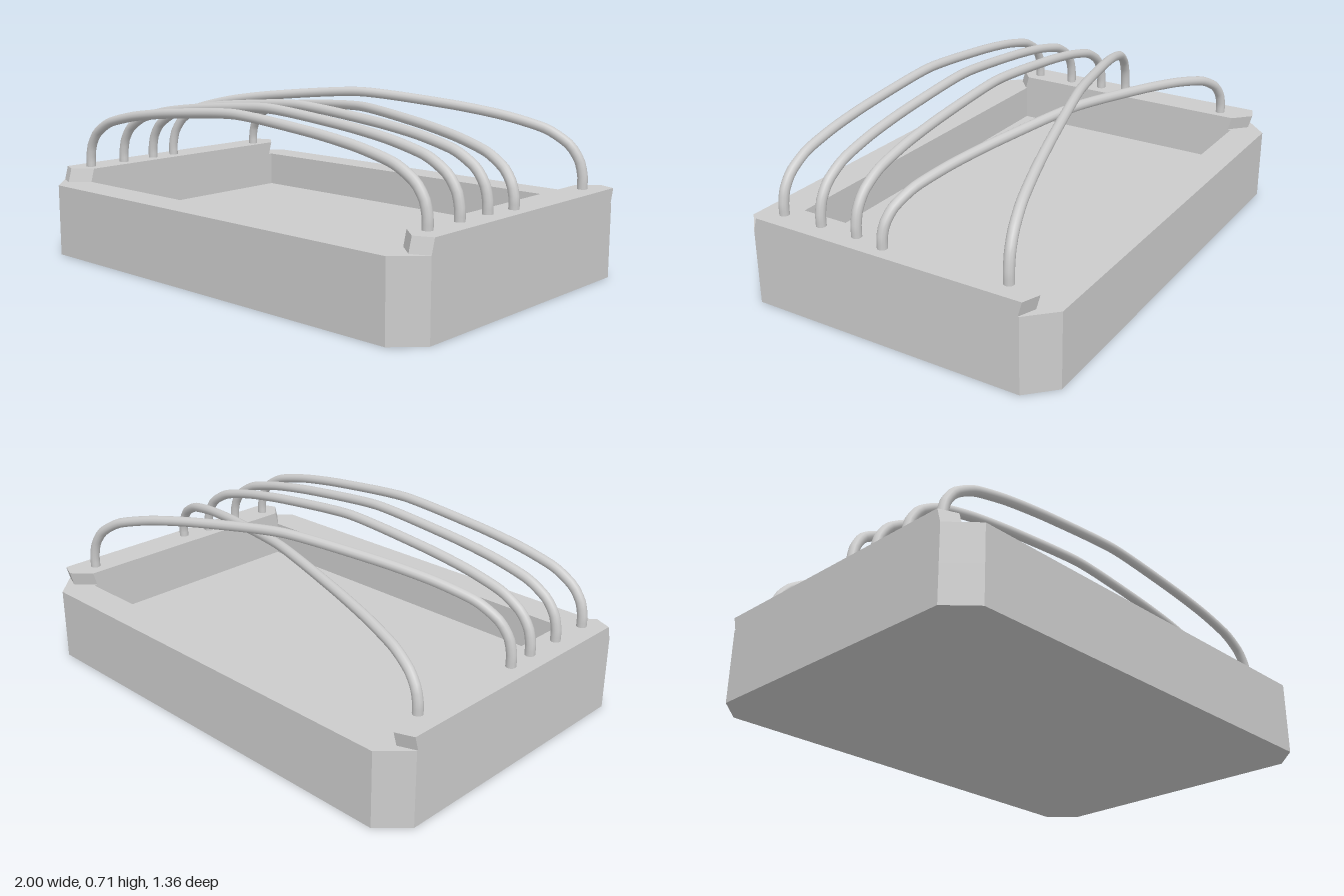
import * as THREE from 'three';

const material = new THREE.MeshStandardMaterial({ color: 0xcccccc });

function addMesh(parent, name, geometry) {
  const mesh = new THREE.Mesh(geometry, material);
  mesh.name = name;
  parent.add(mesh);
}

// Extrudes a plan outline of [x, z] points upward from y0 to y1
// (a hole runs the opposite way round to its outline)
function slab(points, y0, y1, hole) {
  const toPlan = (list) => list.map(([x, z]) => new THREE.Vector2(x, -z));
  const shape = new THREE.Shape(toPlan(points));
  if (hole) shape.holes.push(new THREE.Path(toPlan(hole)));
  const geometry = new THREE.ExtrudeGeometry(shape, { depth: y1 - y0, bevelEnabled: false });
  return geometry.rotateX(-Math.PI / 2).translate(0, y0, 0);
}

// Half of an arch: fraction of the half span, fraction of the height
const ARCH = [[1, 0], [1, 0.16], [0.985, 0.34], [0.94, 0.52], [0.84, 0.685], [0.66, 0.81], [0.42, 0.905]];

// Bent rod between two feet [x, z], rising to a slight ridge in the middle
function archRod(parent, name, [x0, z0], [x1, z1], peak) {
  const foot = 0.35;
  const radius = 0.02;
  const profile = [...ARCH.map(([u, v]) => [-u, v]), [0, 1], ...[...ARCH].reverse()];
  const points = profile.map(([u, v]) => {
    const t = (u + 1) / 2;
    return new THREE.Vector3(
      THREE.MathUtils.lerp(x0, x1, t),
      foot + (peak - foot) * v,
      THREE.MathUtils.lerp(z0, z1, t)
    );
  });
  const curve = new THREE.CatmullRomCurve3(points, false, 'catmullrom', 0.35);
  addMesh(parent, name, new THREE.TubeGeometry(curve, 80, radius, 12));
}

export function createModel() {
  const model = new THREE.Group();
  model.name = 'trayWithHoops';

  // Tray with cut corners: solid bottom and a hollow wall ring
  const w = 1, d = 0.678, cut = 0.103;
  const outline = [
    [w, d - cut], [w - cut, d], [cut - w, d], [-w, d - cut],
    [-w, cut - d], [cut - w, -d], [w - cut, -d], [w, cut - d],
  ];
  const opening = [[-0.857, -0.543], [-0.857, 0.535], [0.857, 0.535], [0.857, -0.543]];
  const floorY = 0.15, rimY = 0.3;
  addMesh(model, 'trayFloor', slab(outline, 0, floorY));
  addMesh(model, 'trayWalls', slab(outline, floorY, rimY, opening));

  // Raised side rails with pointed ends, leaning slightly backward
  for (const [side, name] of [[1, 'leftRail'], [-1, 'rightRail']]) {
    const plan = [
      [1, 0.575], [0.93, 0.605], [0.857, 0.54],
      [0.857, -0.528], [0.93, -0.597], [1, -0.57],
    ].map(([x, z]) => [side * x, z]);
    const geometry = slab(plan, rimY, 0.357);
    const position = geometry.attributes.position;
    for (let i = 0; i < position.count; i++) {
      if (position.getY(i) > 0.33) position.setZ(i, position.getZ(i) - 0.016);
    }
    geometry.computeVertexNormals();
    addMesh(model, name, geometry);
  }

  // Three parallel hoops at the front
  [0.493, 0.316, 0.152].forEach((z, i) => {
    archRod(model, `straightHoop${i + 1}`, [-0.919, z], [0.919, z], i === 0 ? 0.66 : 0.667);
  });

  // Two crossing hoops at the back, one passing above the other
  archRod(model, 'upperCrossHoop', [-0.925, 0.027], [0.92, -0.487], 0.692);
  archRod(model, 'lowerCrossHoop', [-0.907, -0.467], [0.94, 0.02], 0.631);

  return model;
}
